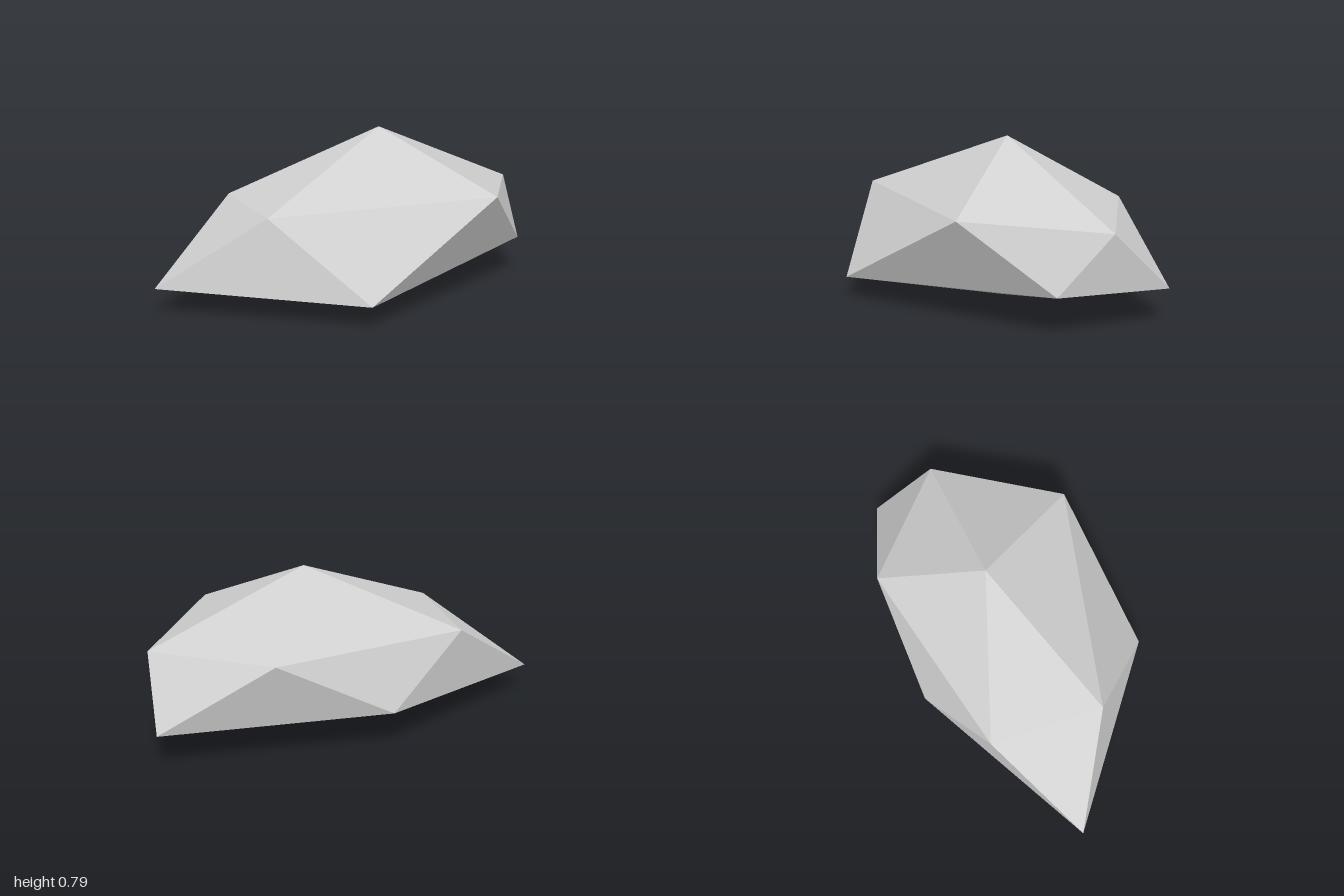
import * as THREE from 'three';

export function createModel() {
  const group = new THREE.Group();
  group.name = 'rock';
  const stone = new THREE.MeshStandardMaterial({ color: 0xd0d0d0, flatShading: true });
  stone.name = 'light stone grey';

  // Two uneven rings of five corners between a peak and a base point
  const peak = [0.2, 0.79, -0.1];
  const base = [0.2, 0, -0.1];
  const upper = [
    [0.54, 0.512, 0.457], [-0.545, 0.482, 0.187], [-0.5, 0.47, -0.37],
    [0.49, 0.483, -0.565], [0.96, 0.456, -0.1],
  ];
  const lower = [
    [-0.203, 0.111, 0.565], [-1, 0.13, -0.1], [-0.08, 0.178, -0.56],
    [1, 0.164, -0.408], [0.88, 0.19, 0.16],
  ];

  // Join the corners like an icosahedron: cap, zigzag belt, underside
  const corners = [];
  for (let i = 0; i < 5; i++) {
    const j = (i + 1) % 5;
    corners.push(peak, upper[j], upper[i]);
    corners.push(upper[i], upper[j], lower[i]);
    corners.push(lower[i], upper[j], lower[j]);
    corners.push(base, lower[i], lower[j]);
  }
  const geometry = new THREE.BufferGeometry();
  geometry.setAttribute('position', new THREE.Float32BufferAttribute(corners.flat(), 3));
  geometry.computeVertexNormals();

  const boulder = new THREE.Mesh(geometry, stone);
  boulder.name = 'boulder';
  group.add(boulder);
  return group;
}
